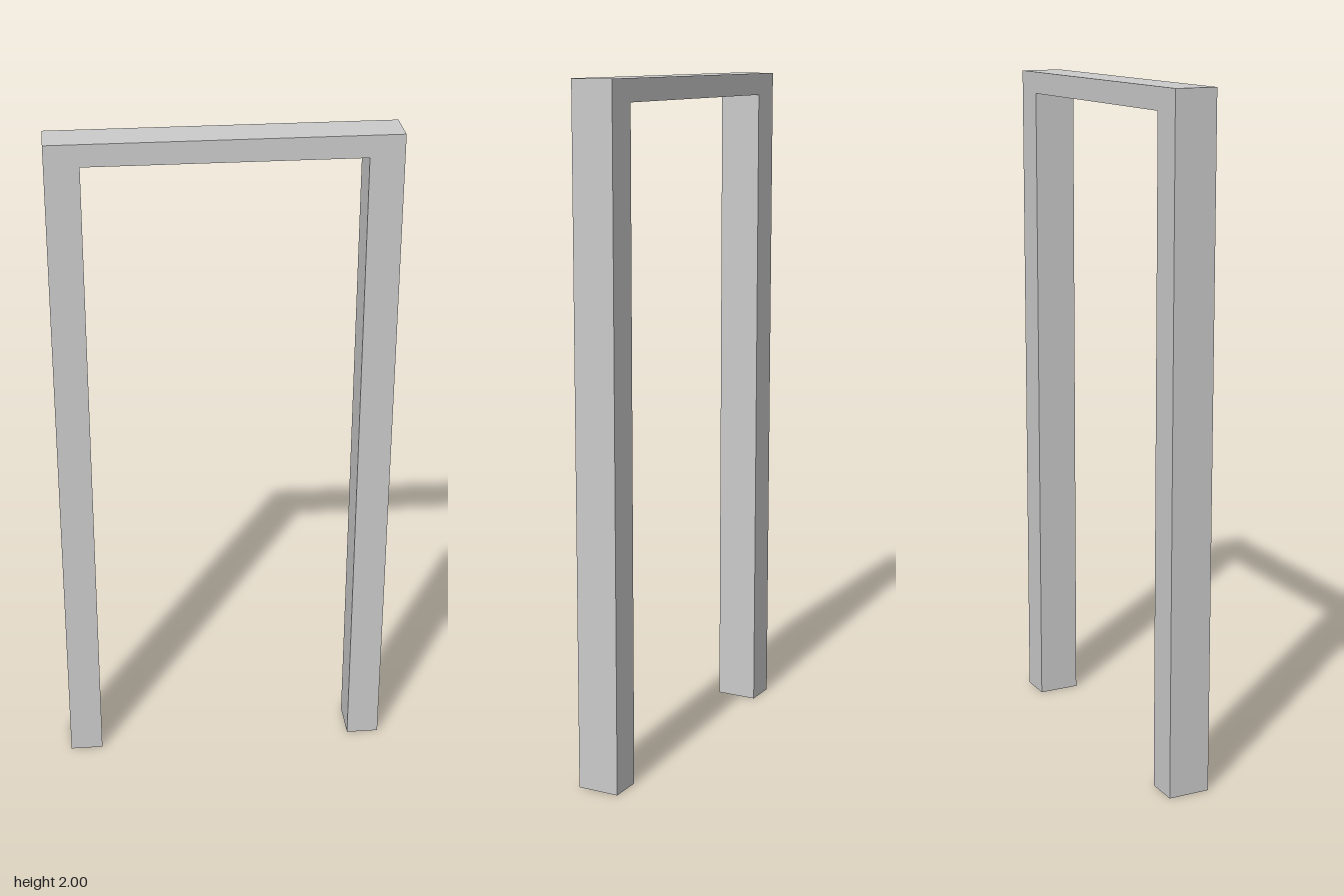
import * as THREE from 'three';

const HALF_WIDTH = 0.492, INNER_HALF = 0.394;
const HEIGHT = 2, LINTEL_BOTTOM = 1.936, DEPTH = 0.125;

// Drops the triangles lying on the ground, leaving the leg ends open
function openBottom(geometry) {
  const p = geometry.attributes.position;
  const kept = [];
  for (let i = 0; i < p.count; i += 3) {
    if (Math.max(p.getY(i), p.getY(i + 1), p.getY(i + 2)) < 1e-6) continue;
    for (let k = i; k < i + 3; k++) kept.push(p.getX(k), p.getY(k), p.getZ(k));
  }
  const open = new THREE.BufferGeometry();
  open.setAttribute('position', new THREE.Float32BufferAttribute(kept, 3));
  open.computeVertexNormals();
  return open;
}

export function createModel() {
  const model = new THREE.Group();
  model.name = 'doorway';

  // Two jambs and a lintel as one hollow outline
  const outline = new THREE.Shape([
    [-HALF_WIDTH, 0], [-INNER_HALF, 0],
    [-INNER_HALF, LINTEL_BOTTOM], [INNER_HALF, LINTEL_BOTTOM],
    [INNER_HALF, 0], [HALF_WIDTH, 0],
    [HALF_WIDTH, HEIGHT], [-HALF_WIDTH, HEIGHT],
  ].map(([x, y]) => new THREE.Vector2(x, y)));

  const solid = new THREE.ExtrudeGeometry(outline, { depth: DEPTH, bevelEnabled: false });
  solid.translate(0, 0, -DEPTH / 2);

  const material = new THREE.MeshStandardMaterial({ color: 0xcccccc, side: THREE.DoubleSide });
  const frame = new THREE.Mesh(openBottom(solid), material);
  frame.name = 'doorFrame';
  model.add(frame);
  return model;
}
